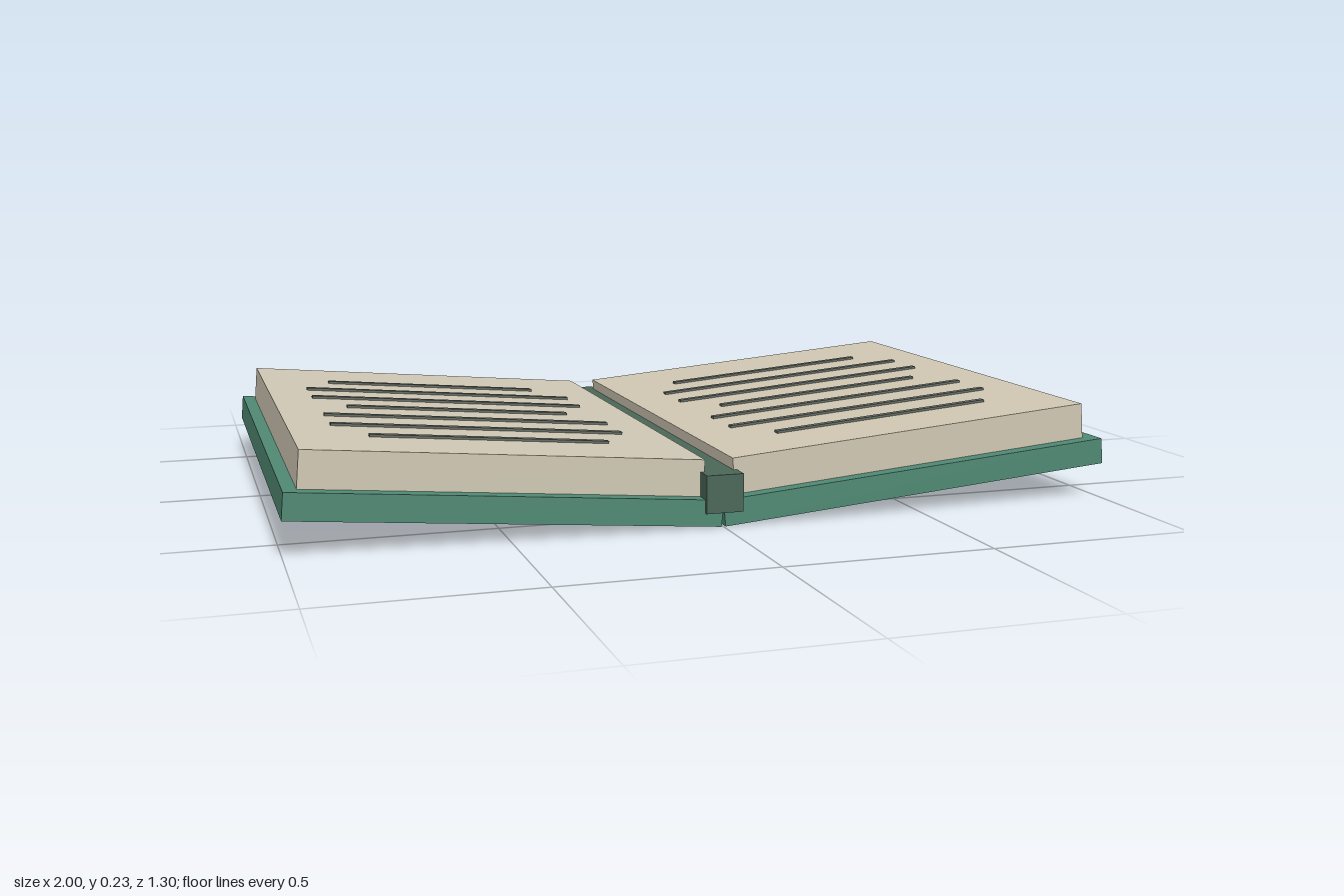
import * as THREE from 'three';

export function createModel() {
  const mat = (name, color) => {
    const m = new THREE.MeshStandardMaterial({ color });
    m.name = name;
    return m;
  };
  const green = mat('cover green', 0x4f8873);
  const cream = mat('page cream', 0xcfc7b3);
  const spineGreen = mat('spine dark green', 0x4a6657);
  const ink = mat('ink grey', 0x636a62);

  // box spanning x0..x1 and y0..y1, centred on z
  const slab = (name, material, x0, x1, y0, y1, depth, z = 0) => {
    const mesh = new THREE.Mesh(new THREE.BoxGeometry(x1 - x0, y1 - y0, depth), material);
    mesh.position.set((x0 + x1) / 2, (y0 + y1) / 2, z);
    mesh.name = name;
    return mesh;
  };

  const book = new THREE.Group();
  book.name = 'openBook';

  // the two halves tilt up from the spine by five degrees
  const tilt = THREE.MathUtils.degToRad(5);
  const coverTop = 0.063, pageTop = 0.15;
  for (const side of [1, -1]) {
    const half = new THREE.Group();
    half.name = side > 0 ? 'leftHalf' : 'rightHalf';
    half.position.x = side * 0.005;
    half.rotation.z = side * tilt;
    const add = (name, material, a, b, ...rest) =>
      half.add(slab(name, material, side > 0 ? a : -b, side > 0 ? b : -a, ...rest));

    add('cover', green, 0, 0.999, 0, coverTop, 1.28);
    add('pageBlock', cream, 0.042, 0.967, coverTop, pageTop, 1.21);

    // ruled text lines, every third one short
    for (let i = 0; i < 7; i++) {
      const reach = i % 3 === 0 ? 0.284 : 0.356;
      add('textLine', ink, 0.508 - reach, 0.508 + reach,
        pageTop - 0.001, pageTop + 0.006, 0.018, -0.368 + i * 0.132);
    }
    book.add(half);
  }

  // spine bar, slightly longer than the covers
  book.add(slab('spine', spineGreen, -0.045, 0.045, 0.035, 0.125, 1.3));
  return book;
}
